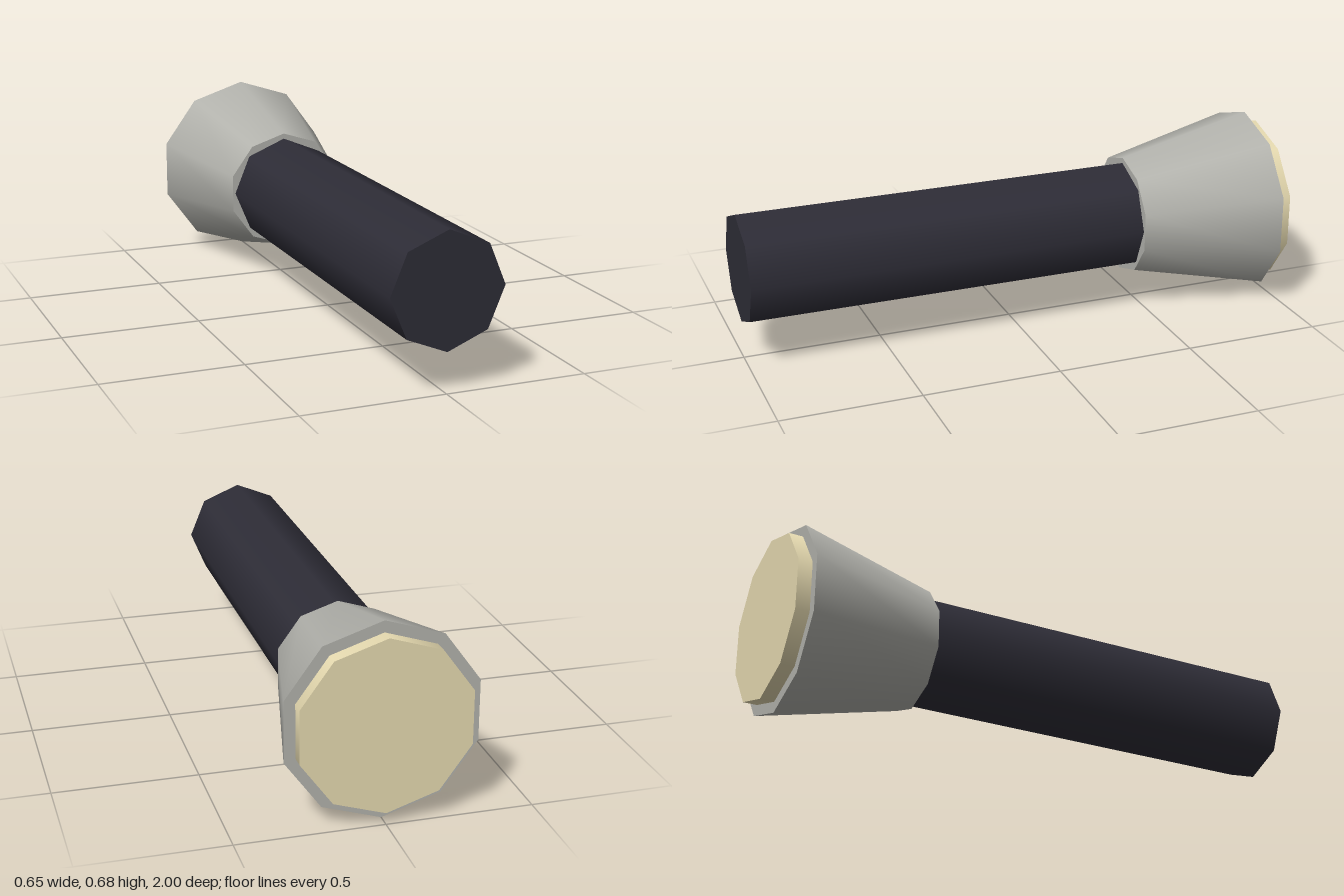
import * as THREE from 'three';

const AXIS_Y = 0.34; // height of the torch's long axis

function material(name, color) {
  const m = new THREE.MeshStandardMaterial({ color });
  m.name = name;
  return m;
}

// Closed tapered prism lying along z, from zBack to zFront
function barrel(name, rFront, rBack, zFront, zBack, sides, mat) {
  const geometry = new THREE.CylinderGeometry(rFront, rBack, zFront - zBack, sides);
  geometry.rotateX(Math.PI / 2);
  const mesh = new THREE.Mesh(geometry, mat);
  mesh.name = name;
  mesh.position.set(0, AXIS_Y, (zFront + zBack) / 2);
  return mesh;
}

export function createModel() {
  const group = new THREE.Group();
  group.name = 'flashlight';
  const dark = material('dark grip', 0x2e2d37);
  const metal = material('grey metal', 0xb2b2ac);
  const glass = material('pale yellow lens', 0xe6dab0);

  group.add(
    barrel('handle', 0.2, 0.2, 1, -0.45, 8, dark),
    barrel('head', 0.22, 0.34, -0.45, -0.95, 10, metal),
    barrel('lens', 0.3, 0.3, -0.95, -1, 10, glass)
  );
  return group;
}
